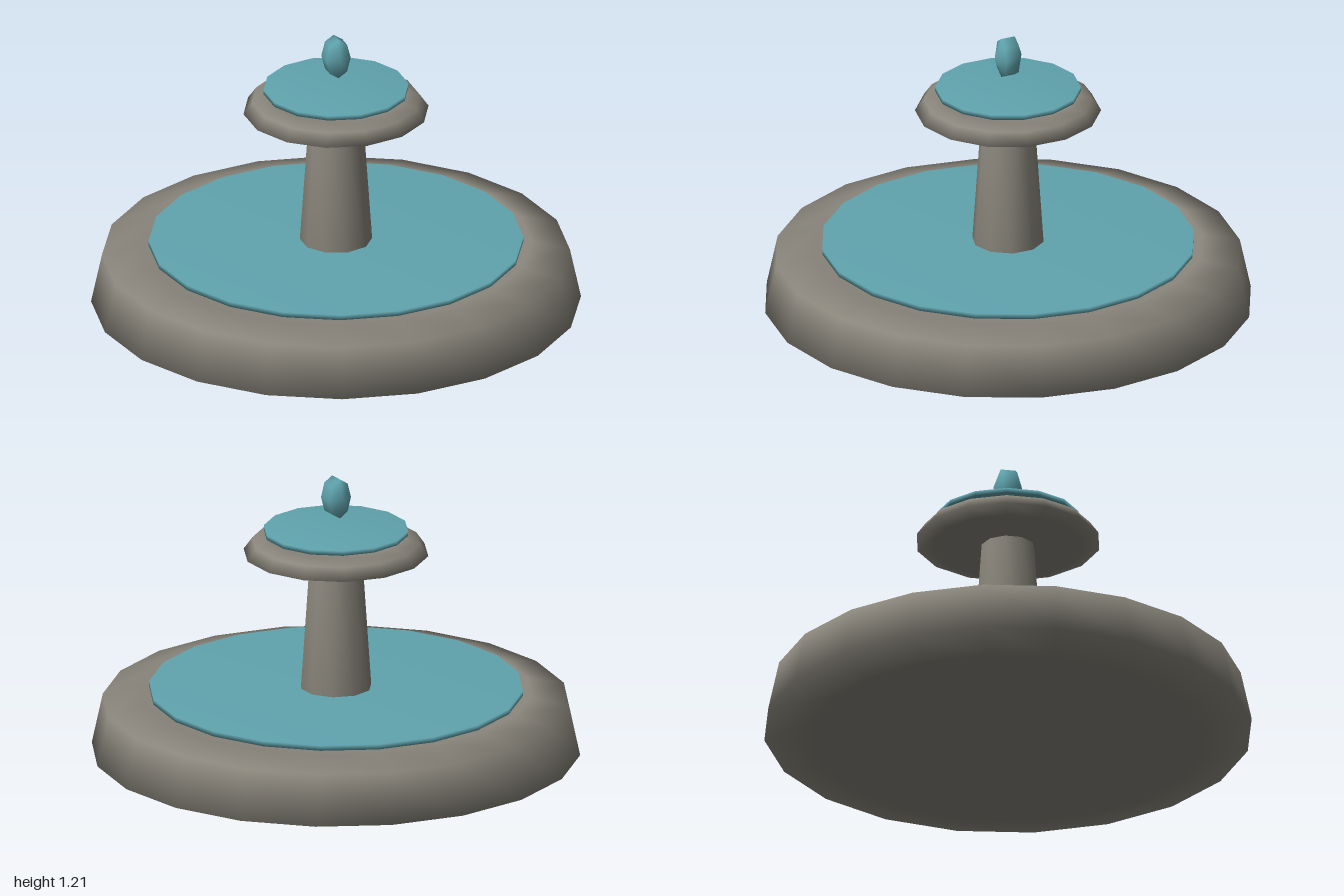
import * as THREE from 'three';
import { mergeVertices } from 'three/addons/utils/BufferGeometryUtils.js';

export function createModel() {
  const group = new THREE.Group();
  const stone = new THREE.MeshStandardMaterial({ color: 0x8a867c });
  stone.name = 'stone';
  const water = new THREE.MeshStandardMaterial({ color: 0x60a4ae });
  water.name = 'water';

  // Weld seams so the shading rolls smoothly over every edge
  function smooth(geometry) {
    geometry.deleteAttribute('normal');
    geometry.deleteAttribute('uv');
    const welded = mergeVertices(geometry, 1e-4);
    welded.computeVertexNormals();
    return welded;
  }

  function add(name, geometry, material) {
    const mesh = new THREE.Mesh(smooth(geometry), material);
    mesh.name = name;
    group.add(mesh);
    return mesh;
  }

  // Turn a profile of [radius, height] points around the vertical axis
  function turned(name, profile, sides, material) {
    const points = profile.map(([r, y]) => new THREE.Vector2(r, y));
    return add(name, new THREE.LatheGeometry(points, sides), material);
  }

  // Lower basin with its hollow inside, and the pool
  turned('basin', [[0, 0], [0.81, 0], [1, 0.04], [0.955, 0.25], [0.8, 0.285], [0.77, 0.22], [0, 0.22]], 20, stone);
  turned('poolWater', [[0, 0.288], [0.765, 0.288], [0.765, 0.31], [0, 0.31]], 20, water);

  // Tapered column
  turned('column', [[0, 0.2], [0.155, 0.2], [0.108, 0.89], [0, 0.89]], 10, stone);

  // Upper bowl and its water disc
  turned('upperBowl', [[0, 0.863], [0.31, 0.863], [0.38, 0.885], [0.345, 0.935], [0.285, 0.955], [0.27, 0.925], [0, 0.925]], 14, stone);
  turned('bowlWater', [[0, 0.97], [0.297, 0.97], [0.297, 0.99], [0, 0.99]], 14, water);

  // Stretched droplet above the bowl, its poles facing front and back
  const drop = new THREE.SphereGeometry(0.061, 8, 3);
  drop.rotateX(Math.PI / 2).scale(1, 1.6, 1).translate(0, 1.124, 0);
  add('waterDrop', drop, water);

  return group;
}
